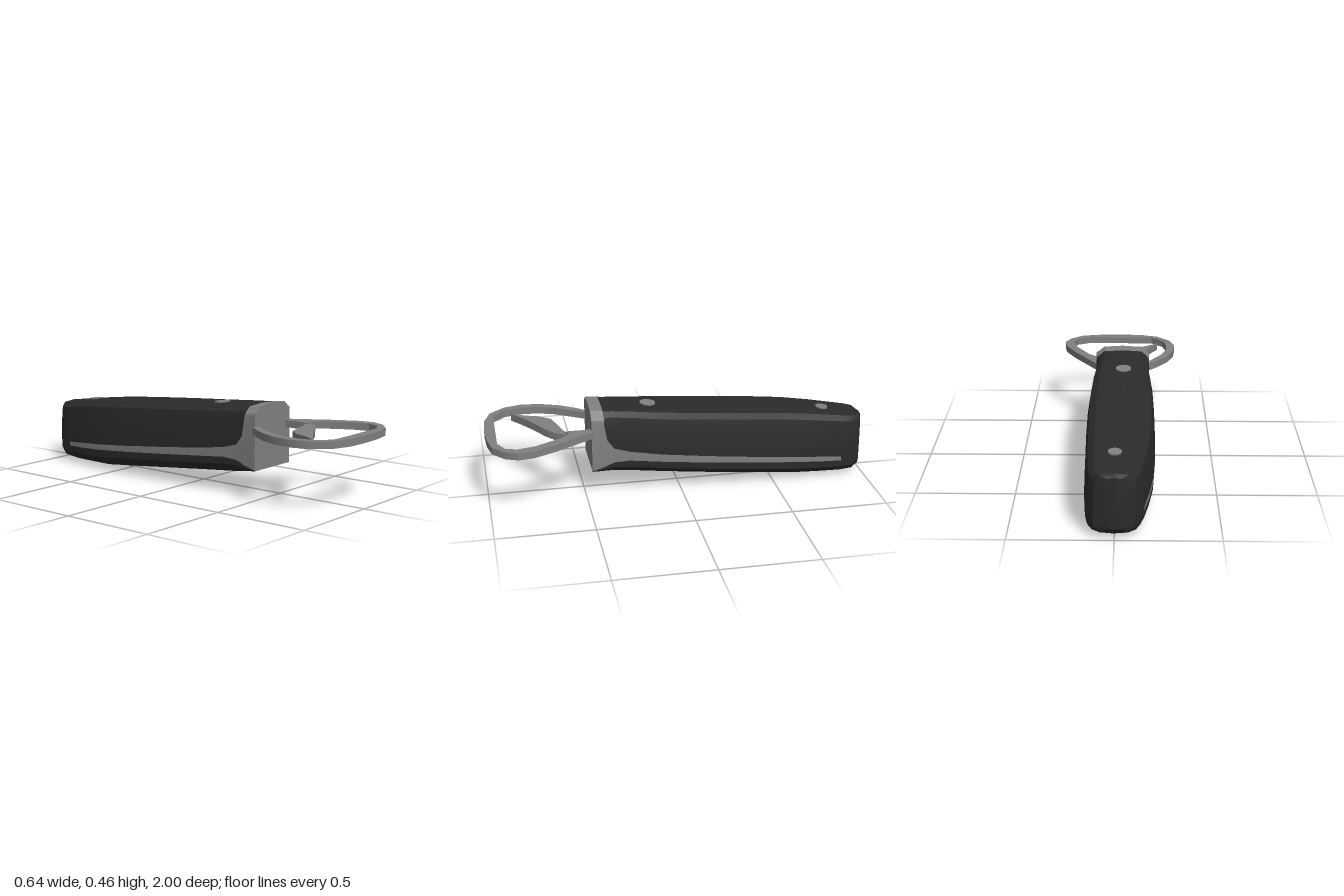
import * as THREE from 'three';
import { toCreasedNormals } from 'three/addons/utils/BufferGeometryUtils.js';

const rubber = new THREE.MeshStandardMaterial({ color: 0x2b2b2b });
rubber.name = 'blackGrip';
const steel = new THREE.MeshStandardMaterial({ color: 0x808080 });
steel.name = 'greySteel';

// Handle stations: z, left x, right x, top y, bottom y, strip top y, strip bottom y, squareness of underside
const stations = [
  [0.465, -0.168, 0.124, 0.468, 0.14, 0.425, 0.145, 1],
  [0.40, -0.17, 0.122, 0.462, 0.128, 0.40, 0.162, 0.7],
  [0.385, -0.17, 0.122, 0.46, 0.124, 0.31, 0.17, 0.6],
  [0.35, -0.17, 0.122, 0.458, 0.115, 0.262, 0.184, 0.4],
  [0.27, -0.175, 0.128, 0.452, 0.10, 0.24, 0.19, 0.1],
  [0.10, -0.19, 0.146, 0.437, 0.083, 0.217, 0.176, 0],
  [-0.15, -0.196, 0.155, 0.418, 0.058, 0.19, 0.153, 0],
  [-0.40, -0.194, 0.154, 0.398, 0.032, 0.163, 0.13, 0],
  [-0.60, -0.184, 0.15, 0.38, 0.011, 0.143, 0.113, 0],
  [-0.75, -0.163, 0.147, 0.362, 0.007, 0.13, 0.102, 0],
  [-0.87, -0.14, 0.14, 0.345, 0.004, 0.118, 0.095, 0],
  [-0.94, -0.122, 0.128, 0.336, 0.01, 0.115, 0.09, 0.1],
  [-0.98, -0.095, 0.098, 0.331, 0.033, 0.12, 0.095, 0.3],
  [-1.0, -0.045, 0.045, 0.318, 0.06, 0.13, 0.105, 0.5],
];

function section([z, xl, xr, yT, yB, sT, sB, sq]) {
  const cx = (xl + xr) / 2, w = (xr - xl) / 2;
  const mix = THREE.MathUtils.lerp;
  const side = [
    [0.7, yT - 0.006],
    [0.89, yT - 0.03],
    [0.97, mix(yT - 0.03, sT, 0.4)],
    [1, sT],
    [1, sB],
    [mix(0.98, 1, sq), mix(yB, sB, 0.6)],
    [mix(0.8, 1, sq), mix(yB, sB, 0.27)],
    [mix(0.48, 0.97, sq), yB + 0.006 * (1 - sq)],
  ];
  const right = side.map(([u, y]) => [cx + u * w, y, z]);
  const left = side.map(([u, y]) => [cx - u * w, y, z]).reverse();
  return [[cx, yT, z], ...right, [cx, yB, z], ...left];
}

// Lofted grip with the steel collar, end face and side strips as their own faces
function handle() {
  const rings = stations.map(section), n = rings[0].length;
  const faces = { grip: [], metal: [] };
  for (let i = 0; i < rings.length - 1; i++) {
    for (let j = 0; j < n; j++) {
      const k = (j + 1) % n;
      const strip = (j === 4 || j === 13) && stations[i + 1][0] >= -0.87;
      const collar = i === 0 && (j <= 4 || j >= 13);
      const a = rings[i][j], b = rings[i][k], c = rings[i + 1][j], d = rings[i + 1][k];
      faces[strip || collar ? 'metal' : 'grip'].push(...a, ...b, ...c, ...b, ...d, ...c);
    }
  }
  const first = rings[0], last = rings[rings.length - 1];
  const frontMid = [-0.022, 0.3, first[0][2]], backMid = [0, 0.19, last[0][2]];
  for (let j = 0; j < n; j++) {
    const k = (j + 1) % n;
    faces.metal.push(...frontMid, ...first[k], ...first[j]);
    faces.grip.push(...backMid, ...last[j], ...last[k]);
  }
  const geo = new THREE.BufferGeometry();
  geo.setAttribute('position', new THREE.Float32BufferAttribute([...faces.grip, ...faces.metal], 3));
  const g = faces.grip.length / 3;
  geo.addGroup(0, g, 0);
  geo.addGroup(g, faces.metal.length / 3, 1);
  const mesh = new THREE.Mesh(toCreasedNormals(geo, 0.5), [rubber, steel]);
  mesh.name = 'handle';
  return mesh;
}

// Flat steel part from an outline in x and z
function plate(name, points, top, depth) {
  const shape = new THREE.Shape(points.map(([x, z]) => new THREE.Vector2(x, z)));
  const geo = new THREE.ExtrudeGeometry(shape, { depth, bevelEnabled: false });
  geo.rotateX(Math.PI / 2);
  const mesh = new THREE.Mesh(toCreasedNormals(geo, 0.5), steel);
  mesh.position.y = top;
  mesh.name = name;
  return mesh;
}

// Thin disc lying on the sloping top of the handle
function disc(name, x, y, z, r, material, geo = new THREE.CylinderGeometry(r, r, 0.009, 14)) {
  const mesh = new THREE.Mesh(geo, material);
  mesh.position.set(x, y, z);
  mesh.rotation.x = -0.085;
  mesh.name = name;
  return mesh;
}

export function createModel() {
  const model = new THREE.Group();
  model.name = 'bottleOpener';
  model.add(handle());

  // Opener loop, outer edge then inner edge
  model.add(plate('openerLoop', [
    [-0.16, 0.44], [-0.22, 0.51], [-0.272, 0.59], [-0.31, 0.69], [-0.32, 0.79], [-0.295, 0.88],
    [-0.225, 0.96], [-0.12, 0.995], [0, 1], [0.12, 0.995], [0.22, 0.975], [0.29, 0.915],
    [0.318, 0.85], [0.305, 0.77], [0.25, 0.66], [0.115, 0.44],
    [0.088, 0.44], [0.09, 0.6], [0.125, 0.582], [0.17, 0.625], [0.245, 0.76], [0.267, 0.85],
    [0.248, 0.91], [0.18, 0.945], [-0.05, 0.945], [-0.19, 0.942], [-0.25, 0.88], [-0.272, 0.8], [-0.27, 0.71],
    [-0.24, 0.62], [-0.13, 0.44],
  ], 0.365, 0.037));

  // Curved tooth inside the loop
  model.add(plate('tooth', [
    [0.09, 0.585], [0.06, 0.602], [-0.02, 0.622], [-0.11, 0.65], [-0.155, 0.71], [-0.18, 0.78], [-0.22, 0.85],
    [-0.16, 0.805], [-0.07, 0.745], [0.02, 0.695], [0.08, 0.65], [0.125, 0.582],
  ], 0.358, 0.04));

  // Rivets and the small recess mark on top
  model.add(disc('rearRivet', 0, 0.357, -0.79, 0.033, steel));
  model.add(disc('frontRivet', -0.03, 0.441, 0.15, 0.042, steel));
  const ring = new THREE.TorusGeometry(0.026, 0.005, 6, 12).rotateX(Math.PI / 2);
  model.add(disc('recessRim', -0.04, 0.418, -0.14, 0, rubber, ring));
  return model;
}
